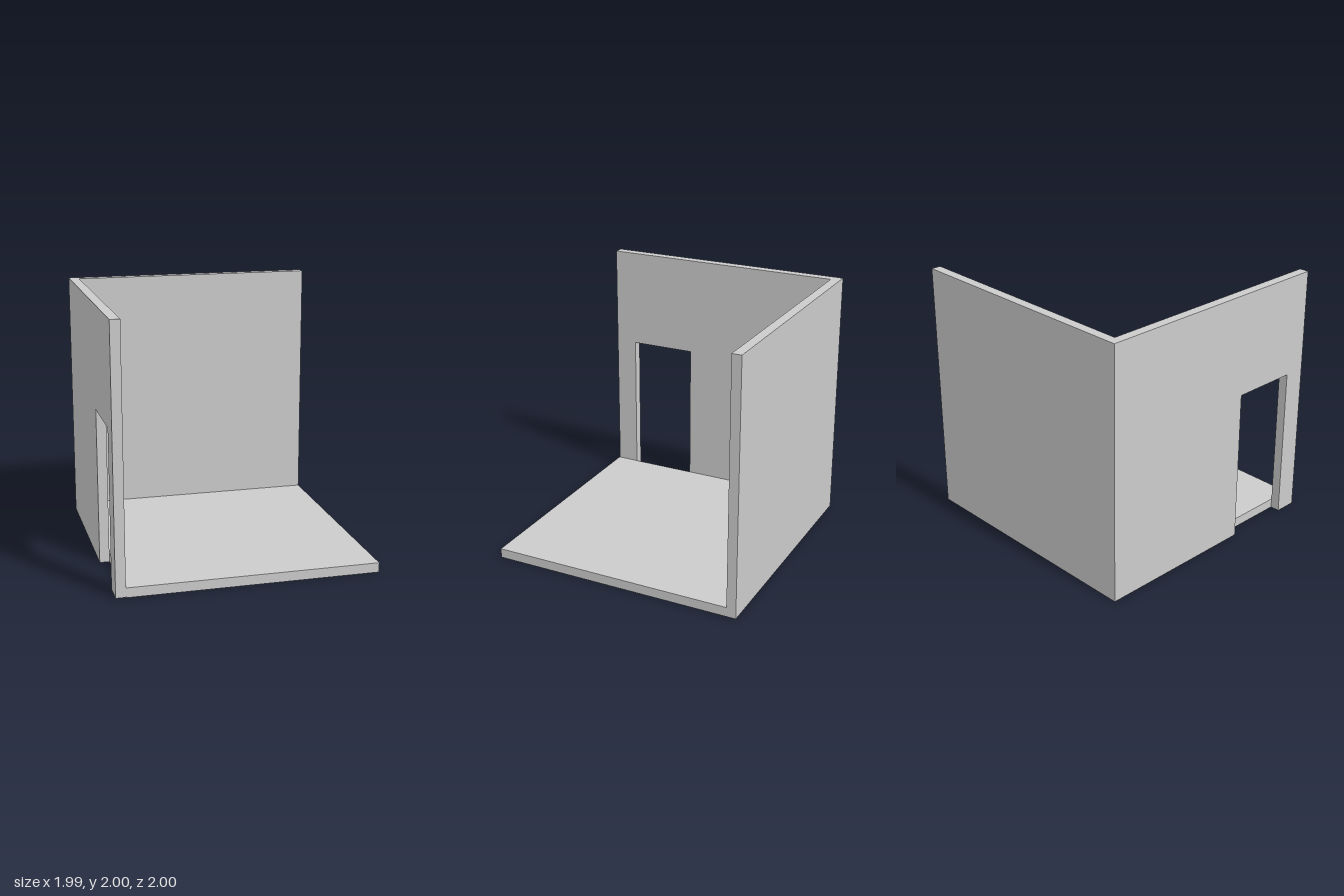
import * as THREE from 'three';

const W = 0.995;   // half width
const T = 0.075;   // wall and floor thickness
const INNER = -W + T;

export function createModel() {
  const group = new THREE.Group();
  const material = new THREE.MeshStandardMaterial({ color: 0xcccccc, flatShading: true });

  const add = (name, geometry) => {
    const mesh = new THREE.Mesh(geometry, material);
    mesh.name = name;
    group.add(mesh);
    return mesh;
  };
  // box given by its two opposite corners
  const box = (name, a, b) => {
    const mesh = add(name, new THREE.BoxGeometry(b[0] - a[0], b[1] - a[1], b[2] - a[2]));
    mesh.position.set((a[0] + b[0]) / 2, (a[1] + b[1]) / 2, (a[2] + b[2]) / 2);
  };

  box('floor', [INNER, 0, -1], [W, T, 1]);
  box('backWall', [INNER, T, -1], [W, 2, -1 + T]);

  // side wall outline as [z, y], with the doorway cut down to the ground
  const outline = [
    [0.993, 0], [0.82, 0], [0.82, 1.205], [0.29, 1.205],
    [0.29, 0], [-1, 0], [-1, 2], [0.993, 2],
  ];
  const shape = new THREE.Shape(outline.map(([z, y]) => new THREE.Vector2(-z, y)));
  const wall = new THREE.ExtrudeGeometry(shape, { depth: T, bevelEnabled: false });
  wall.rotateY(Math.PI / 2);
  add('doorwayWall', wall).position.x = -W;

  return group;
}
